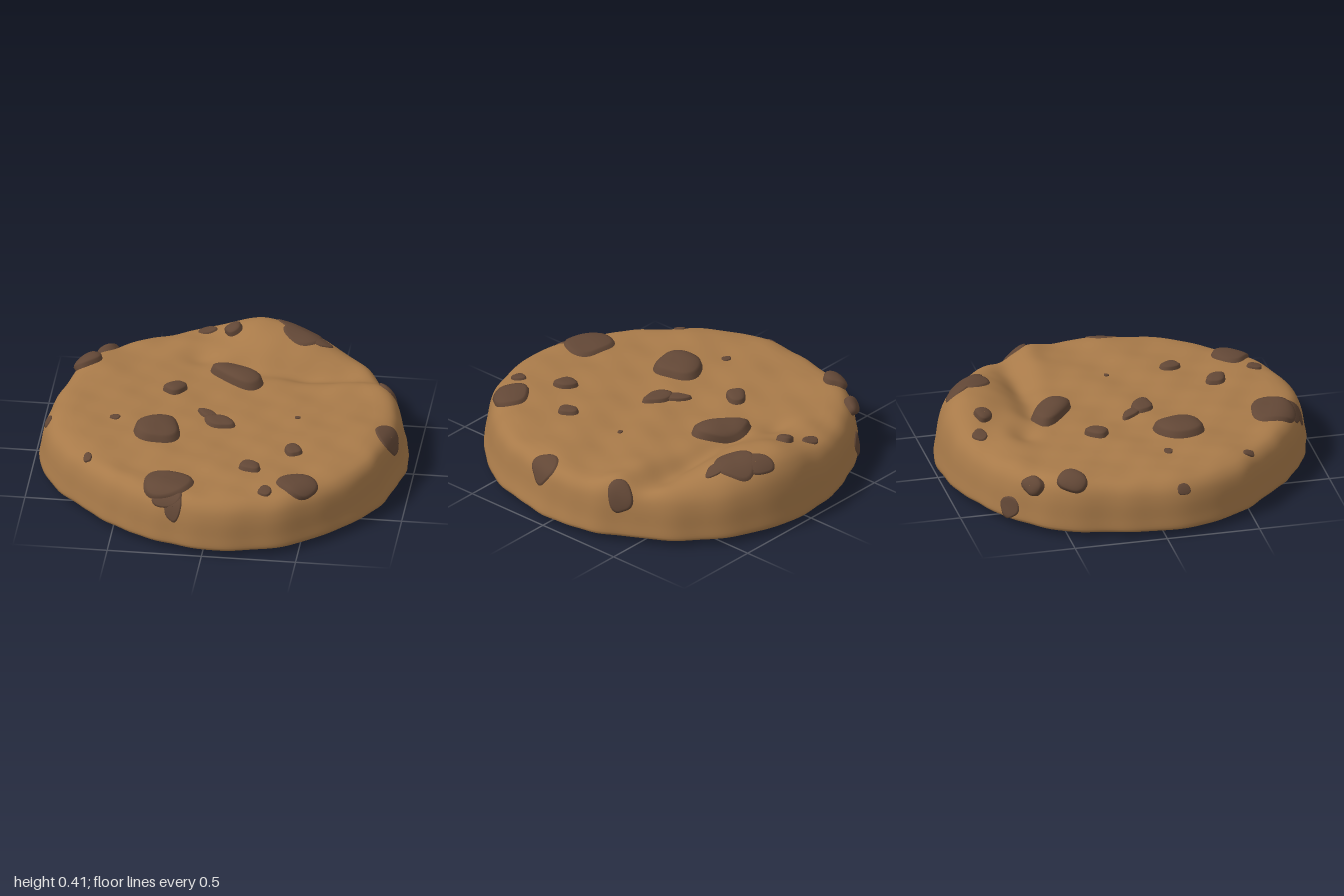
import * as THREE from 'three';

// Rim radius every 15 degrees, running from +x towards +z
const RIM = [0.968, 0.96, 0.975, 0.972, 0.995, 1.0, 0.99, 0.96, 0.94, 0.925, 0.95, 0.975,
  0.975, 0.965, 1.0, 1.0, 0.985, 0.985, 0.995, 0.995, 0.985, 0.975, 0.955, 0.97];
// Broad swells and dents of the top: x, z, width x, width z, height
const SWELLS = [
  [0.12, -0.82, 0.25, 0.22, 0.1], [0.36, -0.68, 0.18, 0.14, 0.05], [0.12, -0.6, 0.14, 0.1, 0.015],
  [0.38, -0.47, 0.33, 0.075, -0.045], [0.05, -0.5, 0.12, 0.08, -0.02], [0.66, -0.34, 0.2, 0.08, 0.028],
  [-0.2, -0.57, 0.09, 0.08, -0.035], [-0.3, -0.68, 0.1, 0.09, 0.02], [0.82, -0.3, 0.1, 0.12, 0.015],
  [0.75, 0.15, 0.2, 0.2, 0.012], [-0.75, -0.5, 0.15, 0.15, 0.012], [-0.45, 0.6, 0.2, 0.15, -0.012],
];
// Edge cross-section: distance from the rim, share of the height
const EDGE = new THREE.SplineCurve([[-0.17, 1], [-0.12, 0.98], [-0.078, 0.92], [-0.045, 0.79],
  [-0.024, 0.58], [-0.01, 0.28], [0, 0.05], [-0.012, 0]].map(([x, y]) => new THREE.Vector2(x, y * 0.27)));
EDGE.arcLengthDivisions = 400;
const INSET = 0.17, EDGE_LENGTH = EDGE.getLength(), BASE = 0.035;

function rimRadius(a) {
  const t = ((a / (2 * Math.PI)) * 24 + 48) % 24, i = Math.floor(t), f = t - i;
  const p = k => RIM[(i + k + 24) % 24];
  const r = p(0) + 0.5 * f * (p(1) - p(-1) + f * (2 * p(-1) - 5 * p(0) + 4 * p(1) - p(2)
    + f * (3 * (p(0) - p(1)) + p(2) - p(-1))));
  return r + 0.003 * Math.sin(17 * a + 1) + 0.002 * Math.sin(29 * a + 2 * Math.sin(3 * a));
}

function topHeight(x, z) {
  let y = 0.304 + 0.006 * Math.sin(7 * x + 2 * Math.sin(5 * z)) * Math.cos(8 * z + 1)
    + 0.004 * Math.sin(15 * x + 4 * z) * Math.sin(13 * z - 6 * x + 2)
    + 0.002 * Math.sin(27 * x - 9 * z) * Math.sin(24 * z + 8 * x);
  for (const [cx, cz, sx, sz, h] of SWELLS) {
    y += h * Math.exp(-(((x - cx) / sx) ** 2) - ((z - cz) / sz) ** 2);
  }
  return y;
}

// Upper surface laid out flat: points past the edge wrap down the side
function upperSurface(px, pz) {
  const a = Math.atan2(pz, px), q = Math.hypot(px, pz), R = rimRadius(a);
  if (q <= R - INSET) return new THREE.Vector3(px, topHeight(px, pz), pz);
  const e = EDGE.getPointAt(Math.min(1, (q - R + INSET) / EDGE_LENGTH)), h = e.y / 0.27;
  // The side leans in a little more around +x
  const lean = 0.018 * Math.max(0, Math.cos(a - 0.17)) ** 6 * Math.sin(Math.PI * h);
  const r = R + e.x - lean, x = r * Math.cos(a), z = r * Math.sin(a);
  return new THREE.Vector3(x, BASE + (topHeight(x, z) - BASE) * h, z);
}

function underside(x, z) {
  const k = Math.hypot(x, z) / (rimRadius(Math.atan2(z, x)) - 0.012);
  const y = 0.01 + (BASE - 0.01) * k ** 5 + 0.002 * Math.sin(6 * x) * Math.sin(7 * z) * (1 - k * k);
  return new THREE.Vector3(x, y, z);
}

// Rings of points joined into a smooth surface
function ringGeometry(rings, flip = false) {
  const n = rings[0].length, index = [];
  for (let i = 0; i < rings.length - 1; i++) {
    for (let j = 0; j < n; j++) {
      const k = (j + 1) % n, a = i * n + j, b = i * n + k, c = a + n, d = b + n;
      index.push(...(flip ? [a, c, b, b, c, d] : [a, b, c, b, d, c]));
    }
  }
  const g = new THREE.BufferGeometry().setFromPoints(rings.flat());
  g.setIndex(index);
  g.computeVertexNormals();
  return g;
}

function doughGeometry() {
  const N = 216, TOP = 64, SIDE = 28, UNDER = 16, rings = [];
  const ring = f => rings.push(Array.from({ length: N }, (_, j) => {
    const a = (j / N) * 2 * Math.PI;
    return f(Math.cos(a), Math.sin(a), rimRadius(a));
  }));
  for (let i = 0; i <= TOP; i++) {
    ring((c, s, R) => { const q = Math.max(0.001, i / TOP) * (R - INSET); return upperSurface(c * q, s * q); });
  }
  for (let i = 1; i <= SIDE; i++) {
    ring((c, s, R) => { const q = R - INSET + EDGE_LENGTH * i / SIDE; return upperSurface(c * q, s * q); });
  }
  for (let i = 1; i <= UNDER; i++) {
    ring((c, s, R) => { const q = Math.max(0.001, 1 - i / UNDER) * (R - 0.012); return underside(c * q, s * q); });
  }
  return ringGeometry(rings);
}

// A lump that follows a surface: centre, half sizes, turn in degrees, bulge
function chipGeometry(surface, [x, z, rx, rz, turn, bulge], seed, below = false) {
  const N = 36, M = 9, rings = [], t = THREE.MathUtils.degToRad(turn), e = 0.004;
  for (let i = 0; i <= M; i++) {
    const k = Math.max(0.01, i / M);
    const lift = i === M ? -0.008 : 0.004 + bulge * Math.sqrt(1 - k ** 3);
    rings.push(Array.from({ length: N }, (_, j) => {
      const a = (j / N) * 2 * Math.PI;
      const w = k * (1 + 0.05 * Math.sin(3 * a + seed * 2.1) + 0.04 * Math.sin(4 * a + seed * 1.3));
      const u = rx * w * Math.cos(a), v = rz * w * Math.sin(a);
      const px = x + u * Math.cos(t) - v * Math.sin(t), pz = z + u * Math.sin(t) + v * Math.cos(t);
      const p = surface(px, pz);
      const dx = surface(px + e, pz).sub(surface(px - e, pz));
      const dz = surface(px, pz + e).sub(surface(px, pz - e));
      return p.addScaledVector(dz.cross(dx).normalize(), below ? -lift : lift);
    }));
  }
  return ringGeometry(rings, below);
}

const TOP_CHIPS = [
  [-0.33, 0.23, 0.128, 0.138, 10, 0.045], [-0.02, 0.1, 0.09, 0.058, 20, 0.022], [-0.09, 0.025, 0.075, 0.036, 45, 0.015],
  [0.02, -0.385, 0.168, 0.09, 35, 0.05], [-0.29, -0.21, 0.07, 0.055, -45, 0.03], [-0.05, -0.77, 0.048, 0.048, 0, 0.03],
  [-0.195, -0.82, 0.052, 0.042, 0, 0.006], [-0.715, -0.665, 0.07, 0.05, -35, 0.04], [-0.79, -0.465, 0.085, 0.07, -50, 0.03],
  [0.405, 0.355, 0.048, 0.06, -20, 0.022], [0.2, 0.555, 0.068, 0.052, 40, 0.025], [0.475, 0.7, 0.112, 0.102, 0, 0.02],
  [0.31, 0.79, 0.038, 0.044, 0, 0.01], [-0.21, 0.765, 0.142, 0.13, 0, 0.02], [0.32, -0.75, 0.105, 0.12, -25, 0.003],
  [0.25, -0.83, 0.11, 0.06, 48, 0.002], [0.42, -0.7, 0.065, 0.04, 10, 0.002], [-0.57, 0.11, 0.03, 0.025, 0, 0.002],
  [-0.665, 0.525, 0.025, 0.034, 0, 0.006], [0.385, 0.005, 0.016, 0.014, 0, 0.001],
];
const SIDE_CHIPS = [
  [0.85, -0.4, 0.09, 0.075, -25, 0.012], [0.905, 0.1, 0.105, 0.09, 5, 0.002], [-0.165, 0.93, 0.095, 0.05, 98, 0.002],
  [-0.205, 0.875, 0.065, 0.09, 98, 0.003], [-0.945, 0.11, 0.035, 0.04, 0, 0.003], [-0.71, -0.87, 0.065, 0.075, 51, 0.003],
];
const UNDER_CHIPS = [
  [0.04, 0.32, 0.18, 0.14, 30, 0], [-0.06, 0.16, 0.13, 0.055, 55, 0], [0.04, -0.5, 0.08, 0.035, 75, 0],
  [0.42, -0.61, 0.045, 0.035, 20, 0], [0.46, -0.72, 0.025, 0.025, 0, 0], [-0.18, -0.43, 0.035, 0.035, 0, 0],
  [0.02, -0.11, 0.022, 0.022, 0, 0], [-0.42, -0.13, 0.035, 0.04, 0, 0], [-0.65, -0.08, 0.055, 0.045, 45, 0],
  [-0.13, 0.68, 0.05, 0.055, 0, 0.004], [-0.42, 0.73, 0.09, 0.06, 45, 0.003],
];

export function createModel() {
  const dough = new THREE.MeshStandardMaterial({ color: 0xa87a49 });
  dough.name = 'baked dough';
  const chocolate = new THREE.MeshStandardMaterial({ color: 0x624736 });
  chocolate.name = 'chocolate';

  const model = new THREE.Group();
  model.name = 'cookie';
  const add = (name, geometry, material, parent) => {
    const mesh = new THREE.Mesh(geometry, material);
    mesh.name = name;
    parent.add(mesh);
  };
  add('dough', doughGeometry(), dough, model);

  // Chocolate chips on the top, the side and the underside
  const sets = [['topChip', TOP_CHIPS, upperSurface], ['sideChip', SIDE_CHIPS, upperSurface],
    ['undersideChip', UNDER_CHIPS, underside]];
  for (const [name, list, surface] of sets) {
    const group = new THREE.Group();
    group.name = name + 's';
    list.forEach((chip, i) => add(name, chipGeometry(surface, chip, i, surface === underside), chocolate, group));
    model.add(group);
  }
  return model;
}
